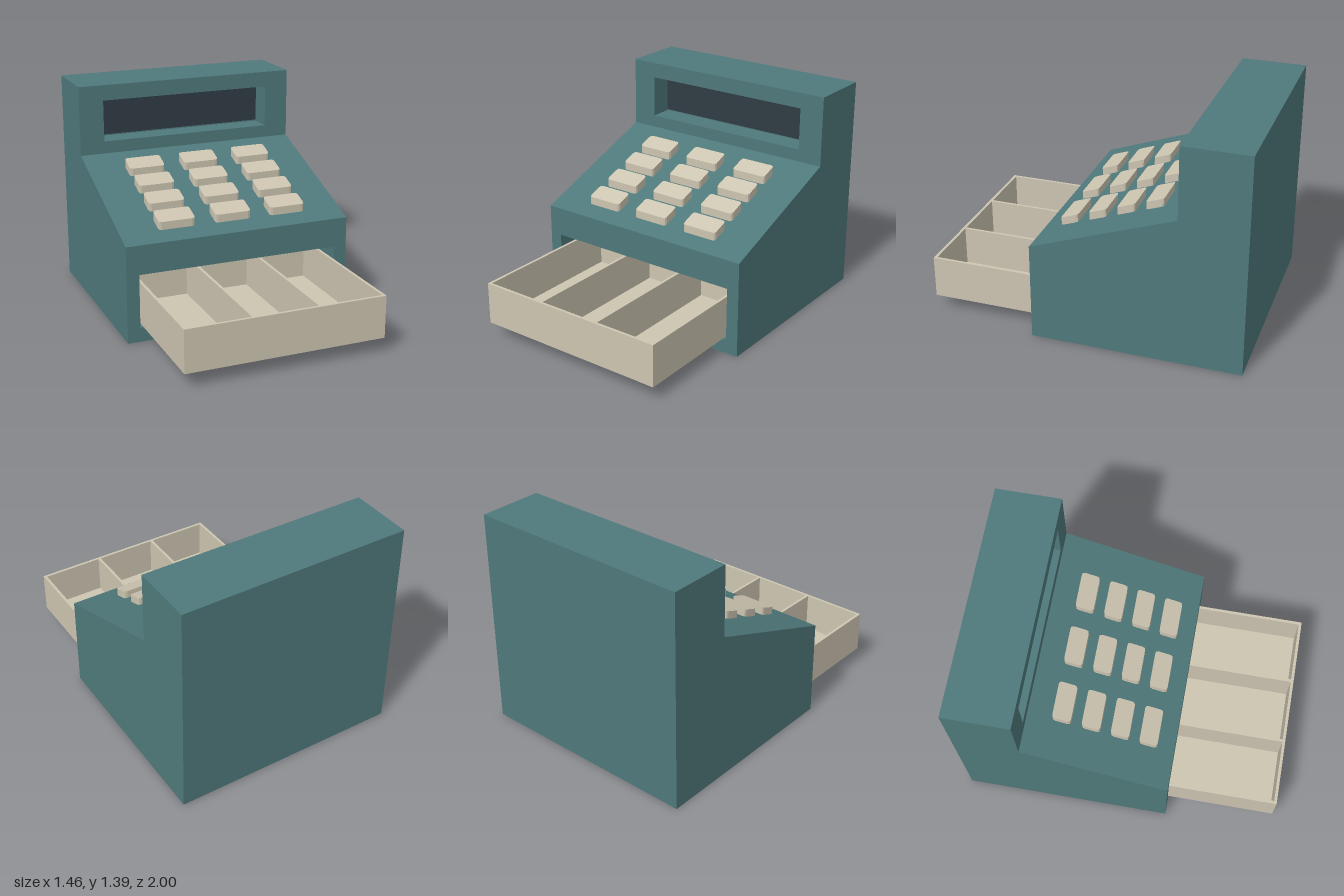
import * as THREE from 'three';

const material = (name, color, side = THREE.FrontSide) => {
  const m = new THREE.MeshStandardMaterial({ color, side });
  m.name = name;
  return m;
};

const HALF = 0.73; // half width of the case
// case side profile as [z, y]
const PROFILE = [[0.31, 0], [0.31, 0.615], [-0.59, 0.94], [-0.59, 1.39], [-1, 1.39], [-1, 0]];
const SLOPE = (0.94 - 0.615) / 0.9;
const DRAWER_HOLE = { x: 0.65, y0: 0.09, y1: 0.43 };
const SCREEN_HOLE = { x: 0.57, y0: 1.02, y1: 1.29 };

function add(parent, name, geometry, mat) {
  const mesh = new THREE.Mesh(geometry, mat);
  mesh.name = name;
  parent.add(mesh);
  return mesh;
}

const polygon = (points) => new THREE.Shape(points.map(([x, y]) => new THREE.Vector2(x, y)));
const rect = (x0, y0, x1, y1) => [[x0, y0], [x1, y0], [x1, y1], [x0, y1]];

// flat four-cornered face, corners counter-clockwise as seen from outside
function quad(...corners) {
  const g = new THREE.BufferGeometry();
  g.setAttribute('position', new THREE.Float32BufferAttribute(corners.flat(), 3));
  g.setIndex([0, 1, 2, 0, 2, 3]);
  g.computeVertexNormals();
  return g;
}

// upright panel with a rectangular opening
function framePanel(y0, y1, z, hole) {
  const shape = polygon(rect(-HALF, y0, HALF, y1));
  shape.holes.push(polygon(rect(-hole.x, hole.y0, hole.x, hole.y1)));
  return new THREE.ShapeGeometry(shape).translate(0, 0, z);
}

// inner walls and back of an opening
function addRecess(parent, name, hole, zFront, zBack, mat) {
  const c = rect(-hole.x, hole.y0, hole.x, hole.y1);
  c.forEach((a, i) => {
    const b = c[(i + 1) % 4];
    add(parent, name + 'Wall', quad([...a, zFront], [...b, zFront], [...b, zBack], [...a, zBack]), mat);
  });
  add(parent, name + 'Back', quad(...c.map((p) => [...p, zBack])), mat);
}

function buildCase(mat) {
  const group = new THREE.Group();
  group.name = 'case';

  // sides
  add(group, 'rightSide', new THREE.ShapeGeometry(polygon(PROFILE)).rotateY(-Math.PI / 2).translate(-HALF, 0, 0), mat);
  add(group, 'leftSide', new THREE.ShapeGeometry(polygon(PROFILE.map(([z, y]) => [-z, y])))
    .rotateY(Math.PI / 2).translate(HALF, 0, 0), mat);

  // faces spanning the width; the two with openings follow below
  const names = [null, 'keySlope', null, 'top', 'back', 'bottom'];
  names.forEach((name, i) => {
    if (!name && i !== 0 && i !== 2) return;
    if (i === 0 || i === 2) return;
    const k = i === 1 ? 1 : i;
    const [z0, y0] = PROFILE[k];
    const [z1, y1] = PROFILE[(k + 1) % PROFILE.length];
    add(group, name, quad([-HALF, y0, z0], [HALF, y0, z0], [HALF, y1, z1], [-HALF, y1, z1]), mat);
  });

  // front panels and their recesses
  add(group, 'drawerFrame', framePanel(0, 0.615, 0.31, DRAWER_HOLE), mat);
  addRecess(group, 'drawerBay', DRAWER_HOLE, 0.31, -0.08, mat);
  add(group, 'screenFrame', framePanel(0.94, 1.39, -0.59, SCREEN_HOLE), mat);
  addRecess(group, 'screenRecess', SCREEN_HOLE, -0.59, -0.74, mat);
  return group;
}

function buildDrawer(mat) {
  const group = new THREE.Group();
  group.name = 'drawer';
  const wall = 0.018, bottom = 0.093, zBack = -0.06;

  // walls and dividers with three open compartments
  const shape = polygon(rect(-0.63, -1, 0.63, -zBack));
  for (const [x0, x1] of [[-0.612, -0.217], [-0.199, 0.199], [0.217, 0.612]]) {
    shape.holes.push(polygon(rect(x0, -1 + wall, x1, -zBack - wall)));
  }
  const walls = new THREE.ExtrudeGeometry(shape, { depth: 0.267, bevelEnabled: false });
  add(group, 'drawerWalls', walls.rotateX(-Math.PI / 2).translate(0, bottom, 0), mat);

  // floor
  const length = 1 - zBack - wall;
  const floor = add(group, 'drawerFloor', new THREE.BoxGeometry(1.24, 0.018, length), mat);
  floor.position.set(0, bottom + 0.0095, (1 + zBack) / 2);
  return group;
}

// rounded key, sheared so its top follows the slope and its sides stay upright
function keyGeometry() {
  const w = 0.1175, d = 0.056, r = 0.018;
  const s = new THREE.Shape();
  s.moveTo(-w + r, -d);
  s.lineTo(w - r, -d);
  s.quadraticCurveTo(w, -d, w, -d + r);
  s.lineTo(w, d - r);
  s.quadraticCurveTo(w, d, w - r, d);
  s.lineTo(-w + r, d);
  s.quadraticCurveTo(-w, d, -w, d - r);
  s.lineTo(-w, -d + r);
  s.quadraticCurveTo(-w, -d, -w + r, -d);
  const g = new THREE.ExtrudeGeometry(s, { depth: 0.05, bevelEnabled: false, curveSegments: 2 });
  g.rotateX(-Math.PI / 2);
  const p = g.attributes.position;
  for (let i = 0; i < p.count; i++) p.setY(i, p.getY(i) - SLOPE * p.getZ(i));
  g.computeVertexNormals();
  return g;
}

function buildKeys(mat) {
  const group = new THREE.Group();
  group.name = 'keys';
  const geometry = keyGeometry();
  for (let row = 0; row < 4; row++) {
    for (let col = -1; col <= 1; col++) {
      const z = 0.147 - row * 0.177;
      add(group, 'key', geometry, mat).position.set(col * 0.367, 0.615 + SLOPE * (0.31 - z), z);
    }
  }
  return group;
}

export function createModel() {
  const teal = material('teal', 0x4f797b);
  const cream = material('cream', 0xcdc5b1);
  const dark = material('screenDark', 0x303c44);

  const model = new THREE.Group();
  model.name = 'cashRegister';
  model.add(buildCase(teal), buildDrawer(cream), buildKeys(cream));

  // display
  const screen = add(model, 'screen', new THREE.BoxGeometry(1.13, 0.25, 0.009), dark);
  screen.position.set(0, 1.155, -0.735);
  return model;
}
